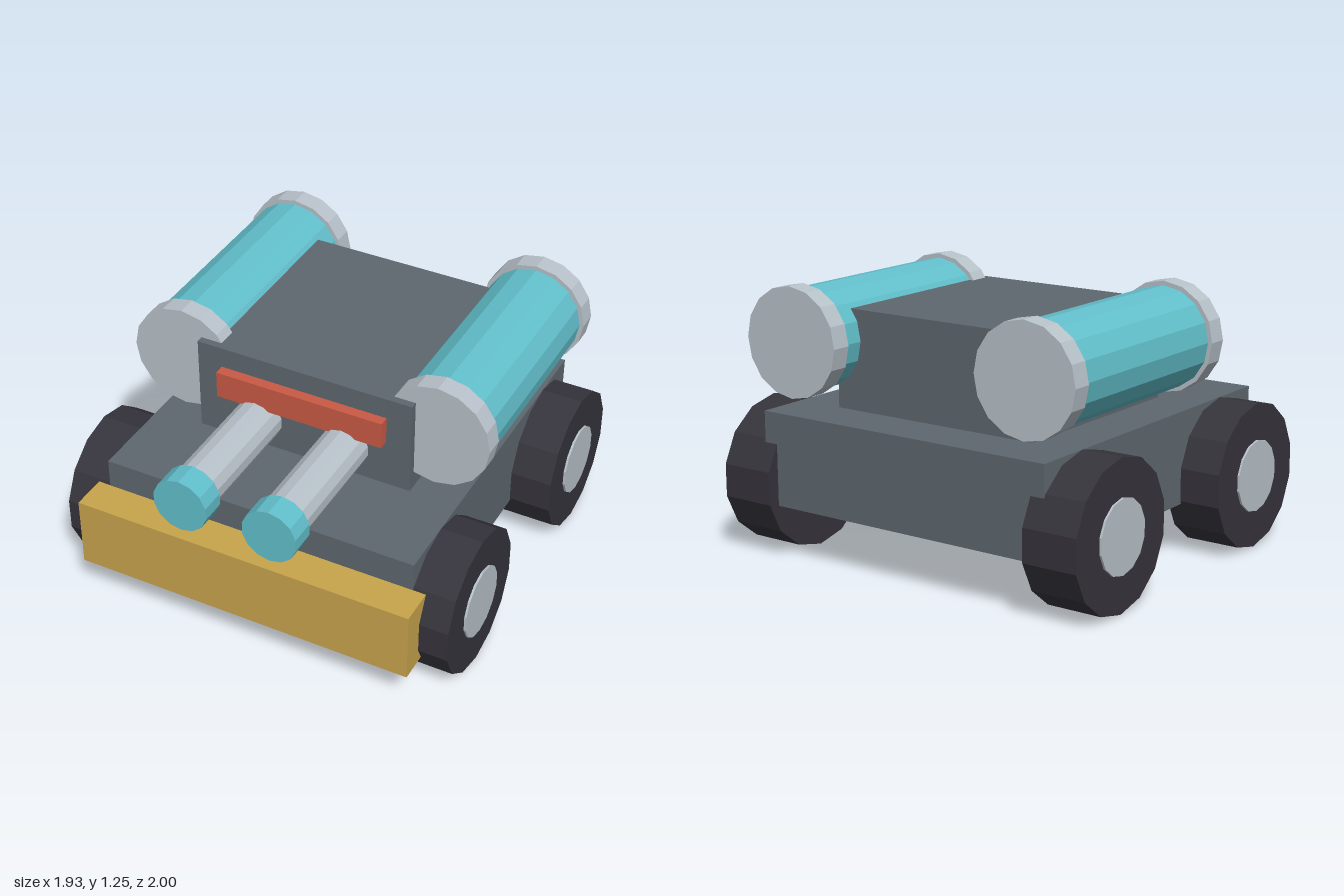
import * as THREE from 'three';

const mat = (name, color) => {
  const m = new THREE.MeshStandardMaterial({ color, flatShading: true });
  m.name = name;
  return m;
};

export function createModel() {
  const group = new THREE.Group();
  const hull = mat('hull grey', 0x5f686f);
  const teal = mat('teal', 0x62c0cc);
  const silver = mat('silver', 0xb8c2ca);
  const red = mat('red', 0xc95a45);
  const gold = mat('gold', 0xc8a44c);
  const rubber = mat('rubber', 0x36343c);

  const add = (name, geometry, material) => {
    const mesh = new THREE.Mesh(geometry, material);
    mesh.name = name;
    group.add(mesh);
    return mesh;
  };

  // Box symmetric in x, given by its limits in y and z
  const box = (name, halfWidth, y0, y1, z0, z1, material) =>
    add(name, new THREE.BoxGeometry(halfWidth * 2, y1 - y0, z1 - z0), material)
      .position.set(0, (y0 + y1) / 2, (z0 + z1) / 2);

  // Cylinder lying along z
  const rod = (name, x, y, z0, z1, r, sides, material) =>
    add(name, new THREE.CylinderGeometry(r, r, z1 - z0, sides).rotateX(Math.PI / 2), material)
      .position.set(x, y, (z0 + z1) / 2);

  // Cylinder lying along x
  const disc = (name, x, y, z, r, width, sides, material) =>
    add(name, new THREE.CylinderGeometry(r, r, width, sides).rotateX(Math.PI / 2).rotateY(Math.PI / 2), material)
      .position.set(x, y, z);

  // Body
  box('chassis', 0.76, 0.25, 0.68, -0.94, 0.73, hull);
  box('cabin', 0.53, 0.68, 1.14, -0.7, 0.295, hull);
  box('visor', 0.41, 0.91, 1.04, 0.29, 0.345, red);
  box('bumper', 0.82, 0.2, 0.54, 0.725, 0.9, gold);

  for (const side of [1, -1]) {
    const label = side > 0 ? 'left' : 'right';

    // Side tank with end caps
    rod(label + 'Tank', side * 0.63, 0.997, -0.85, 0.2, 0.233, 16, teal);
    rod(label + 'TankRearCap', side * 0.63, 0.997, -0.9, -0.805, 0.253, 16, silver);
    rod(label + 'TankFrontCap', side * 0.63, 0.997, 0.165, 0.26, 0.253, 16, silver);

    // Front barrel and its tip
    rod(label + 'Barrel', side * 0.216, 0.828, 0.2, 0.95, 0.109, 14, silver);
    rod(label + 'BarrelTip', side * 0.216, 0.828, 0.88, 1, 0.131, 14, teal);

    // Wheels, with hubs showing on both faces
    for (const [end, z] of [['Front', 0.458], ['Rear', -0.666]]) {
      disc(label + end + 'Tyre', side * 0.824, 0.34, z, 0.34, 0.264, 14, rubber);
      disc(label + end + 'Hub', side * 0.824, 0.34, z, 0.168, 0.284, 14, silver);
    }
  }
  return group;
}
